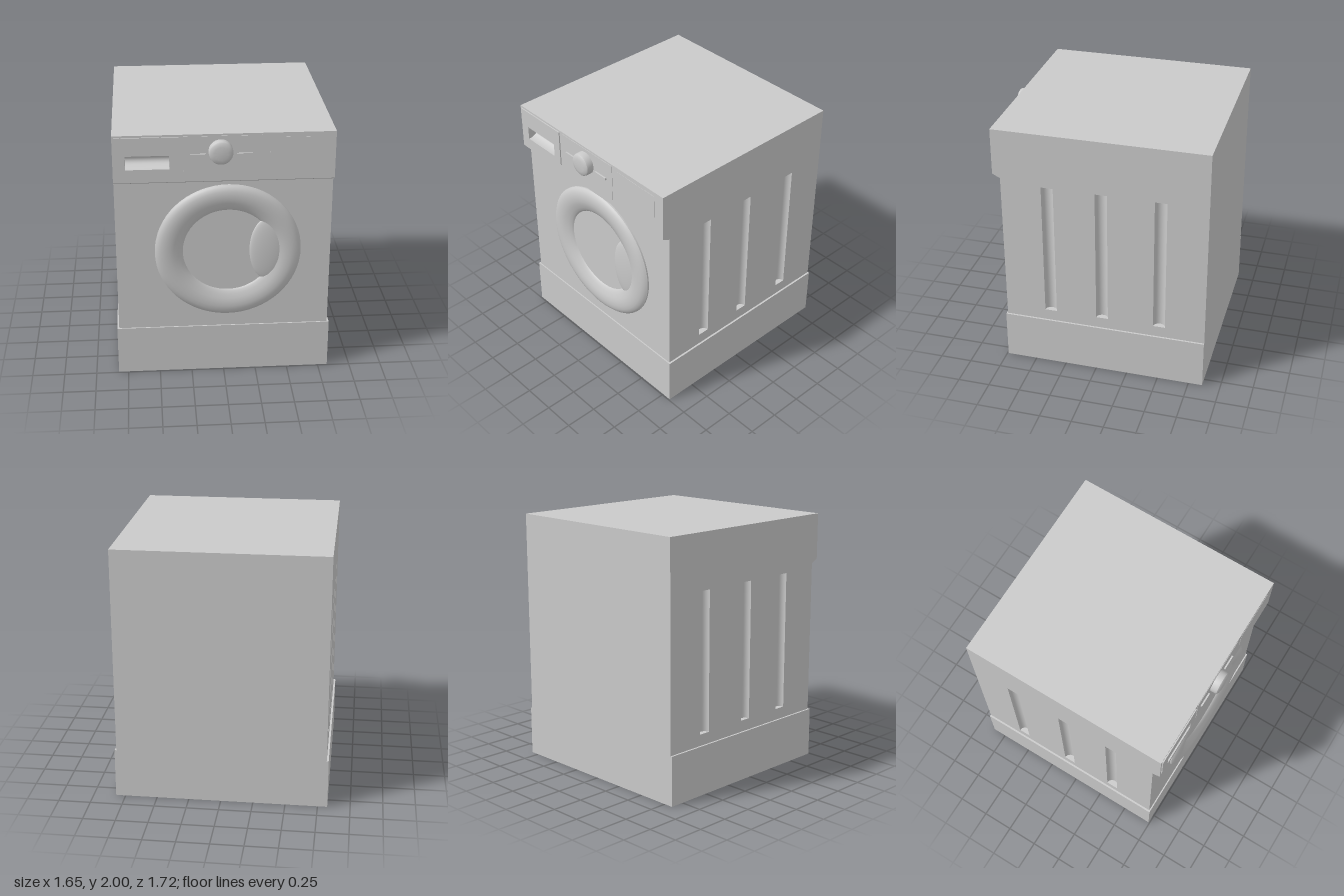
import * as THREE from 'three';
import { toCreasedNormals } from 'three/addons/utils/BufferGeometryUtils.js';

export function createModel() {
  const group = new THREE.Group();
  const grey = new THREE.MeshStandardMaterial({ color: 0xcacaca });
  grey.name = 'light grey';
  const greyInside = new THREE.MeshStandardMaterial({ color: 0xcacaca, side: THREE.DoubleSide });
  greyInside.name = 'light grey open surface';

  const add = (name, geometry, x = 0, y = 0, z = 0, material = grey) => {
    const mesh = new THREE.Mesh(geometry, material);
    mesh.name = name;
    mesh.position.set(x, y, z);
    group.add(mesh);
    return mesh;
  };
  // Box given by its limits on each axis
  const box = (name, x0, x1, y0, y1, z0, z1) =>
    add(name, new THREE.BoxGeometry(x1 - x0, y1 - y0, z1 - z0), (x0 + x1) / 2, (y0 + y1) / 2, (z0 + z1) / 2);
  const rect = (Type, x0, x1, y0, y1) => new Type([
    new THREE.Vector2(x0, y0), new THREE.Vector2(x1, y0), new THREE.Vector2(x1, y1), new THREE.Vector2(x0, y1)]);

  const W = 0.81, back = -0.86, front = 0.73, face = 0.79;

  // Plinth and the plain parts of the cabinet
  box('plinth', -0.825, 0.825, 0, 0.39, back, 0.74);
  box('lowerCabinet', -W, W, 0.39, 0.48, back, front);
  box('upperCabinet', -W, W, 1.57, 2, back, 0.7);
  box('cabinetFrontRail', -W, W, 1.57, 1.635, 0.7, front);

  // Middle of the cabinet, with three rounded grooves in each side
  const side = [[W, back]];
  for (const zc of [-0.502, -0.048, 0.367]) {
    for (let i = 0; i <= 12; i++) {
      const a = (i / 12) * Math.PI;
      side.push([W - 0.045 * Math.sin(a), zc - 0.047 * Math.cos(a)]);
    }
  }
  side.push([W, front]);
  const outline = [...side, ...side.map(([x, z]) => [-x, z]).reverse()];
  const grooved = new THREE.ExtrudeGeometry(
    new THREE.Shape(outline.map(([x, z]) => new THREE.Vector2(x, -z))), { depth: 1.09, bevelEnabled: false });
  grooved.rotateX(-Math.PI / 2);
  add('groovedCabinet', toCreasedNormals(grooved, 0.5), 0, 0.48, 0);

  // Control panel with the drawer pocket cut out, and its sloping underside
  const pocket = [-0.72, -0.4, 1.74, 1.845];
  const panel = rect(THREE.Shape, -W, W, 1.635, 2);
  panel.holes.push(rect(THREE.Path, ...pocket));
  add('controlPanel', new THREE.ExtrudeGeometry(panel, { depth: face - 0.7, bevelEnabled: false }), 0, 0, 0.7);
  const wedge = new THREE.Shape([
    new THREE.Vector2(-front, 1.605), new THREE.Vector2(-front, 1.635), new THREE.Vector2(-face, 1.635)]);
  const wedgeGeometry = new THREE.ExtrudeGeometry(wedge, { depth: 2 * W, bevelEnabled: false });
  wedgeGeometry.rotateY(Math.PI / 2);
  add('panelUnderside', wedgeGeometry, -W, 0, 0);

  // Detergent drawer front with a hollow grip
  const drawer = rect(THREE.Shape, -0.795, -0.33, 1.69, 1.985);
  drawer.holes.push(rect(THREE.Path, ...pocket));
  add('drawerFront', new THREE.ExtrudeGeometry(drawer, { depth: 0.009, bevelEnabled: false }), 0, 0, face);
  const grip = new THREE.CylinderGeometry(0.0525, 0.0525, 0.32, 20, 1, true, Math.PI / 2, Math.PI);
  grip.rotateZ(Math.PI / 2);
  grip.scale(1, 1, 1.5);
  add('drawerGrip', grip, -0.56, 1.7925, 0.795, greyInside);

  // Thin plates on the panel
  box('dialPlate', -0.3, 0.27, 1.69, 1.985, face - 0.002, face + 0.003);
  box('displayPlate', 0.33, 0.72, 1.785, 1.965, face - 0.002, face + 0.002);
  box('markLeft', -0.25, -0.135, 1.835, 1.852, face, 0.805);
  box('markRight', 0.088, 0.205, 1.835, 1.852, face, 0.805);

  // Lathed shape turned so its axis points to the front
  const lathe = (points, segments) => {
    const geometry = new THREE.LatheGeometry(points.map(([r, h]) => new THREE.Vector2(r, h)), segments);
    geometry.rotateX(Math.PI / 2);
    return toCreasedNormals(geometry, 0.6);
  };

  // Dial with a slightly domed face
  add('dial', lathe([[0.089, 0], [0.089, 0.042], [0.086, 0.055], [0.076, 0.063],
    [0.05, 0.068], [0, 0.07]], 40), -0.028, 1.87, face);

  // Door ring, resting on the cabinet front
  const ring = add('doorRing', lathe([[0.54, 0], [0.54, 0.012], [0.532, 0.02], [0.52, 0.031], [0.495, 0.04],
    [0.465, 0.044], [0.43, 0.042], [0.4, 0.035], [0.37, 0.023], [0.347, 0.012], [0.34, 0.006], [0.334, 0]], 64),
    0.032, 1.04, front);
  ring.scale.x = 1.022;

  // Door handle, swelling from the window into the ring
  const handle = new THREE.SphereGeometry(1, 40, 24);
  handle.scale(0.14, 0.26, 0.034);
  add('doorHandle', handle, 0.335, 1.04, front);

  return group;
}
